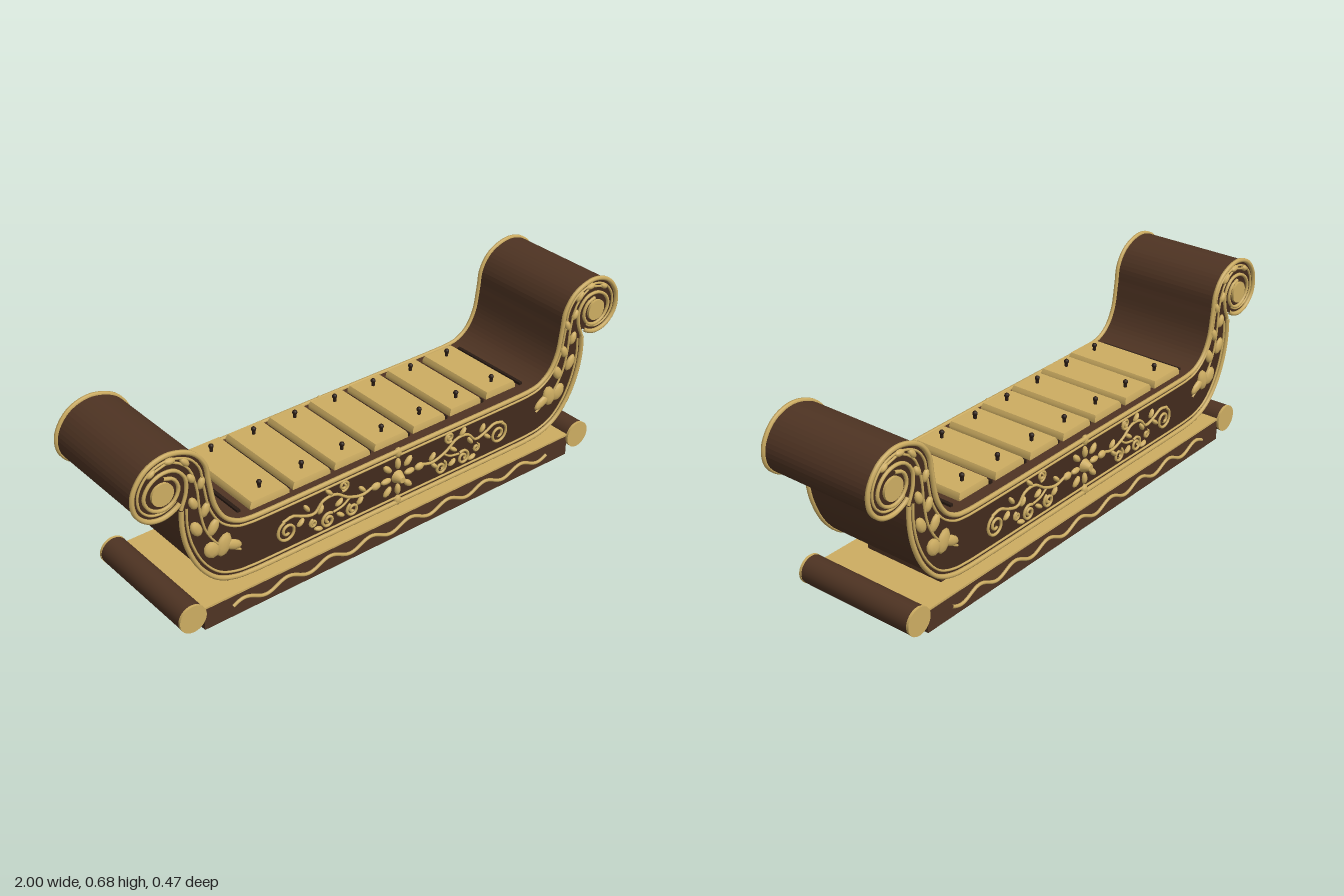
import * as THREE from 'three';

const mat = (name, color) => {
  const m = new THREE.MeshStandardMaterial({ color });
  m.name = name;
  return m;
};

export function createModel() {
  const root = new THREE.Group();
  root.name = 'metallophone';
  const wood = mat('brown wood', 0x4f3423);
  const panel = mat('dark panel wood', 0x422b1c);
  const gold = mat('gold', 0xcdad62);
  const dark = mat('dark peg', 0x2a1c14);
  const Z = 0.206;

  const add = (name, geo, m, x = 0, y = 0, z = 0, parent = root) => {
    const mesh = new THREE.Mesh(geo, m);
    mesh.name = name;
    mesh.position.set(x, y, z);
    parent.add(mesh);
    return mesh;
  };
  const box = (name, w, h, d, m, x, y, z) => add(name, new THREE.BoxGeometry(w, h, d), m, x, y, z);
  const spline = (pts, n) => new THREE.CatmullRomCurve3(
    pts.map(([x, y]) => new THREE.Vector3(x, y, 0))).getSpacedPoints(n).map(p => [p.x, p.y]);

  // Base: slab, gold top, plinth and end rollers
  box('baseSlab', 1.57, 0.08, 0.444, wood, 0, 0.04, 0);
  box('baseTopPlate', 1.57, 0.007, 0.446, gold, 0, 0.081, 0);
  box('plinth', 1.3, 0.045, 0.31, wood, 0, 0.106, 0);
  for (const s of [-1, 1]) {
    const roller = add('baseRoller', new THREE.CylinderGeometry(0.048, 0.048, 0.444, 32), wood, s * 0.83, 0.07, 0);
    roller.rotation.x = Math.PI / 2;
    for (const t of [-1, 1]) {
      const cap = add('rollerCap', new THREE.CylinderGeometry(0.049, 0.049, 0.009, 32), gold, s * 0.83, 0.07, t * 0.2265);
      cap.rotation.x = Math.PI / 2;
    }
  }

  // Body: half outline from the deck up the neck, round the scroll, down to the keel
  const upper = [[0, 0.33], ...spline([[0.58, 0.33], [0.63, 0.338], [0.68, 0.37], [0.715, 0.43], [0.732, 0.52],
    [0.743, 0.59], [0.785, 0.645], [0.87, 0.672], [0.945, 0.648], [0.99, 0.585], [0.988, 0.52],
    [0.95, 0.477], [0.9, 0.465], [0.855, 0.478], [0.836, 0.492]], 60)];
  const lower = [...spline([[0.833, 0.465], [0.834, 0.4], [0.82, 0.32], [0.78, 0.23],
    [0.72, 0.165], [0.65, 0.137], [0.58, 0.13]], 26), [0, 0.13]];
  const half = [...upper, ...lower];
  const outline = [...half, ...half.slice(1, -1).reverse().map(([x, y]) => [-x, y])];
  const bodyGeo = new THREE.ExtrudeGeometry(
    new THREE.Shape(outline.map(p => new THREE.Vector2(...p))),
    { depth: 2 * Z, bevelEnabled: false });
  add('body', bodyGeo, [panel, wood], 0, 0, -Z);

  // Side ornament helpers: sx and sz choose the mirrored quarter
  const tube = (name, pts, r, sx, sz, parent, z = Z + 0.003, closed = false) => {
    const curve = new THREE.CatmullRomCurve3(pts.map(([x, y]) => new THREE.Vector3(x * sx, y, z * sz)), closed);
    add(name, new THREE.TubeGeometry(curve, Math.max(24, pts.length * 3), r, 6, closed), gold, 0, 0, 0, parent);
  };
  const leaf = (x, y, len, wid, ang, sx, sz, parent, name = 'leaf') => {
    const m = add(name, new THREE.SphereGeometry(1, 10, 6), gold, x * sx, y, sz * (Z + 0.002), parent);
    m.scale.set(len, wid, 0.011);
    m.rotation.z = ang * sx;
  };
  const curl = (x, y, r, turns, start) => Array.from({ length: 22 }, (_, i) => {
    const t = i / 21, a = start - t * turns * Math.PI * 2, q = r * (1 - 0.8 * t);
    return [x + q * Math.cos(a), y + q * Math.sin(a)];
  });
  // Parallel line on the inner side of an outline run
  const inset = (pts, d) => pts.map(([x, y], i) => {
    const a = pts[Math.max(0, i - 1)], b = pts[Math.min(pts.length - 1, i + 1)];
    const l = Math.hypot(b[0] - a[0], b[1] - a[1]);
    return [x + (b[1] - a[1]) / l * d, y - (b[0] - a[0]) / l * d];
  });

  for (const sz of [-1, 1]) {
    const side = new THREE.Group();
    side.name = sz > 0 ? 'frontOrnament' : 'backOrnament';
    root.add(side);

    for (const sx of [-1, 1]) {
      // Rims and inner lines
      tube('upperRim', upper, 0.008, sx, sz, side, 0.21);
      tube('lowerRim', lower, 0.008, sx, sz, side, 0.21);
      tube('upperInnerLine', inset(upper, 0.019), 0.004, sx, sz, side);
      tube('lowerInnerLine', inset(lower, 0.019), 0.004, sx, sz, side);

      // Scroll spiral and its eye
      tube('scrollSpiral', [[0.833, 0.465], [0.812, 0.52], [0.812, 0.57], [0.845, 0.61], [0.895, 0.615],
        [0.938, 0.59], [0.955, 0.55], [0.935, 0.51], [0.895, 0.493], [0.855, 0.508], [0.836, 0.545],
        [0.85, 0.583], [0.885, 0.597]], 0.006, sx, sz, side);
      const eye = add('scrollEye', new THREE.CylinderGeometry(0.038, 0.038, 0.012, 28), gold, sx * 0.893, 0.548, sz * (Z + 0.003), side);
      eye.rotation.x = Math.PI / 2;

      // Neck vine with leaves shrinking towards the scroll
      tube('neckVine', [[0.63, 0.23], [0.7, 0.275], [0.75, 0.35], [0.768, 0.43], [0.775, 0.52],
        [0.8, 0.6], [0.86, 0.643], [0.92, 0.63]], 0.004, sx, sz, side);
      for (const [x, y, l, w, a] of [[0.66, 0.262, 0.04, 0.018, 0.5], [0.69, 0.275, 0.042, 0.026, 1.9],
        [0.735, 0.275, 0.034, 0.026, 1.0], [0.725, 0.355, 0.032, 0.018, 2.1], [0.785, 0.375, 0.032, 0.018, 1.1],
        [0.75, 0.43, 0.027, 0.015, 2.0], [0.79, 0.47, 0.025, 0.014, 1.2], [0.758, 0.53, 0.022, 0.012, 1.9],
        [0.792, 0.56, 0.02, 0.012, 1.0], [0.81, 0.625, 0.022, 0.011, 0.9], [0.86, 0.648, 0.02, 0.011, 0.1],
        [0.925, 0.63, 0.018, 0.01, -0.6]]) leaf(x, y, l, w, a, sx, sz, side, 'neckLeaf');

      // Panel vine, curls and small leaves
      tube('panelVine', [[0.1, 0.235], [0.15, 0.222], [0.21, 0.24], [0.26, 0.272], [0.31, 0.268],
        [0.345, 0.235], [0.39, 0.245], [0.43, 0.263], [0.47, 0.255]], 0.005, sx, sz, side);
      for (const [x, y, r, a] of [[0.452, 0.215, 0.04, 1.3], [0.29, 0.185, 0.028, 2.2],
        [0.19, 0.185, 0.025, 1.2], [0.225, 0.29, 0.02, -1], [0.35, 0.2, 0.014, 1.5]])
        tube('curl', curl(x, y, r, 1.6, a), 0.005, sx, sz, side);
      tube('curlStem', [[0.2, 0.235], [0.23, 0.215], [0.27, 0.207]], 0.004, sx, sz, side);
      for (const [x, y, a] of [[0.15, 0.245, 0.8], [0.16, 0.205, -0.8], [0.245, 0.235, -0.6], [0.285, 0.29, 0.8],
        [0.32, 0.24, -1], [0.375, 0.268, 1], [0.4, 0.225, -0.7], [0.24, 0.185, 0.6], [0.33, 0.17, 0.3]])
        leaf(x, y, 0.018, 0.008, a, sx, sz, side, 'panelLeaf');
    }

    // Central flower: eight petals, outer buds and a boss
    for (let i = 0; i < 8; i++) {
      const a = i * Math.PI / 4, r = i % 2 ? 0.062 : 0.05;
      leaf(r * Math.cos(a), 0.23 + r * Math.sin(a), 0.022, 0.011, a, 1, sz, side, 'petal');
      if (i % 2 === 0) leaf(0.093 * Math.cos(a), 0.23 + 0.093 * Math.sin(a), 0.02, 0.014, a, 1, sz, side, 'outerBud');
    }
    const boss = add('flowerBoss', new THREE.CylinderGeometry(0.011, 0.025, 0.032, 16), gold, 0, 0.228, sz * 0.22, side);
    boss.rotation.x = sz * Math.PI / 2;

    // Wavy line along the base
    const wave = Array.from({ length: 73 }, (_, i) => {
      const x = -0.68 + i * 1.36 / 72;
      return [x, 0.042 + 0.014 * Math.sin(i * Math.PI / 4.5)];
    });
    tube('baseWave', wave, 0.006, 1, sz, side, 0.226);
  }

  // Keys: bevelled bars that shrink from right to left, each with two pegs
  for (let i = 0; i < 7; i++) {
    const x = -0.498 + i * 0.166, w = 0.15 - i * 0.0022, d = 0.372 - i * 0.0075;
    const key = new THREE.Group();
    key.name = 'key';
    key.position.x = x;
    root.add(key);
    const geo = new THREE.BoxGeometry(w, 0.025, d, 4, 2, 1);
    const p = geo.attributes.position;
    for (let k = 0; k < p.count; k++) {
      // rounded top edges
      if (p.getY(k) > 0.01) {
        p.setX(k, p.getX(k) * 0.9);
        p.setZ(k, p.getZ(k) * 0.985);
      }
    }
    geo.computeVertexNormals();
    add('keyBar', geo, gold, 0, 0.3495, 0, key);
    for (const s of [-1, 1]) {
      add('pegShaft', new THREE.CylinderGeometry(0.006, 0.006, 0.03, 10), dark, 0, 0.37, s * d * 0.35, key);
      add('pegHead', new THREE.SphereGeometry(0.009, 10, 8), dark, 0, 0.381, s * d * 0.35, key);
    }
  }
  // Dividers between and beside the keys
  for (let i = 0; i < 8; i++)
    box('divider', 0.012, 0.012, 0.335 - i * 0.002, dark, i === 0 ? -0.603 : i === 7 ? 0.598 : -0.581 + i * 0.166, 0.335, 0);

  return root;
}
